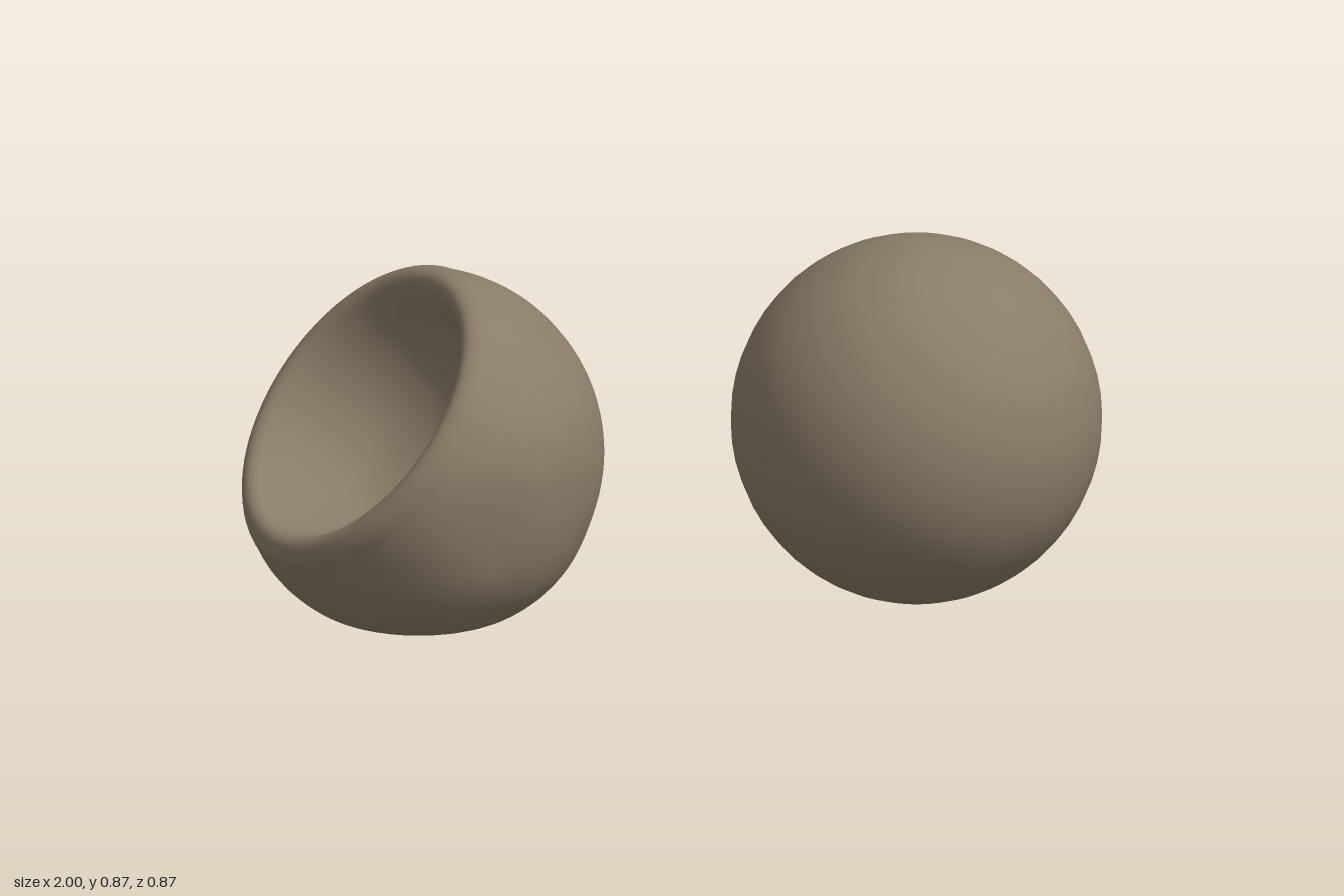
import * as THREE from 'three';
import { mergeVertices } from 'three/addons/utils/BufferGeometryUtils.js';

const R = 0.432;
const CENTER = new THREE.Vector3(-0.594, 0.386, 0);
const OPENING = new THREE.Vector3(-0.72, 0.63, 0.29).normalize();

// Shallow dents in the outer skin: direction, angular radius, depth
const DENTS = [
  [0.35, -0.1, 0.93, 0.4, 0.012],
  [0.72, 0.68, 0.1, 0.35, 0.008],
  [0.75, -0.1, 0.65, 0.35, 0.008],
  [0.75, 0.1, -0.65, 0.4, 0.012],
  [-0.4, -0.2, -0.89, 0.35, 0.01],
  [-0.55, -0.55, 0.6, 0.35, 0.01],
  [0.2, 0.65, -0.73, 0.35, 0.008],
].map(([x, y, z, radius, depth]) => ({ dir: new THREE.Vector3(x, y, z).normalize(), radius, depth }));

// Half profile: outer skin from the pole, broad rounded lip, then the hollow
function bowlProfile() {
  const pts = [];
  const end = Math.PI - Math.acos(0.15 / R);
  for (let i = 0; i <= 36; i++) {
    const a = (end * i) / 36;
    pts.push(new THREE.Vector2(Math.sin(a) * R, -Math.cos(a) * R));
  }
  const inner = new THREE.SplineCurve([
    [0.405, 0.15], [0.393, 0.185], [0.365, 0.209], [0.336, 0.203], [0.312, 0.165],
    [0.268, 0.075], [0.19, -0.015], [0.09, -0.065], [0, -0.08],
  ].map(([x, y]) => new THREE.Vector2(x, y)));
  pts.push(...inner.getPoints(40).slice(1));
  pts[0].x = pts[pts.length - 1].x = 0;
  return pts;
}

function dentedBallGeometry() {
  const lathe = new THREE.LatheGeometry(bowlProfile(), 80);
  lathe.deleteAttribute('uv');
  lathe.deleteAttribute('normal');
  const geo = mergeVertices(lathe, 1e-5);
  geo.applyQuaternion(new THREE.Quaternion().setFromUnitVectors(new THREE.Vector3(0, 1, 0), OPENING));

  const pos = geo.attributes.position;
  const p = new THREE.Vector3();
  const d = new THREE.Vector3();
  for (let i = 0; i < pos.count; i++) {
    p.fromBufferAttribute(pos, i);
    d.copy(p).normalize();
    // Only the outer skin is dented and squashed
    if (p.length() > R - 0.004) {
      let push = 0;
      for (const dent of DENTS) {
        const t = d.angleTo(dent.dir) / dent.radius;
        if (t < 1) push -= dent.depth * (1 - t * t) ** 2;
      }
      // Slight spread above the foot
      push += 0.012 * THREE.MathUtils.smoothstep(-d.y, 0.3, 0.7);
      p.addScaledVector(d, push);
    }
    p.add(CENTER);
    // Soft-edged foot with a shallow hollow in the middle
    if (p.y < 0.12) {
      const t = Math.hypot(p.x - CENTER.x, p.z) / 0.2;
      const hollow = t < 1 ? 0.06 * (1 - t * t) ** 2 : 0;
      p.y = 0.5 * (p.y + Math.hypot(p.y, 0.02)) + hollow;
    }
    pos.setXYZ(i, p.x, p.y, p.z);
  }
  geo.computeVertexNormals();
  return geo;
}

export function createModel() {
  const group = new THREE.Group();
  const clay = new THREE.MeshStandardMaterial({ color: 0x8a7d68 });
  clay.name = 'clay brown';

  const ball = new THREE.Mesh(new THREE.SphereGeometry(0.433, 40, 28), clay);
  ball.name = 'roundBall';
  ball.position.set(0.567, 0.438, 0);

  const dented = new THREE.Mesh(dentedBallGeometry(), clay);
  dented.name = 'dentedBall';

  group.add(ball, dented);
  return group;
}
